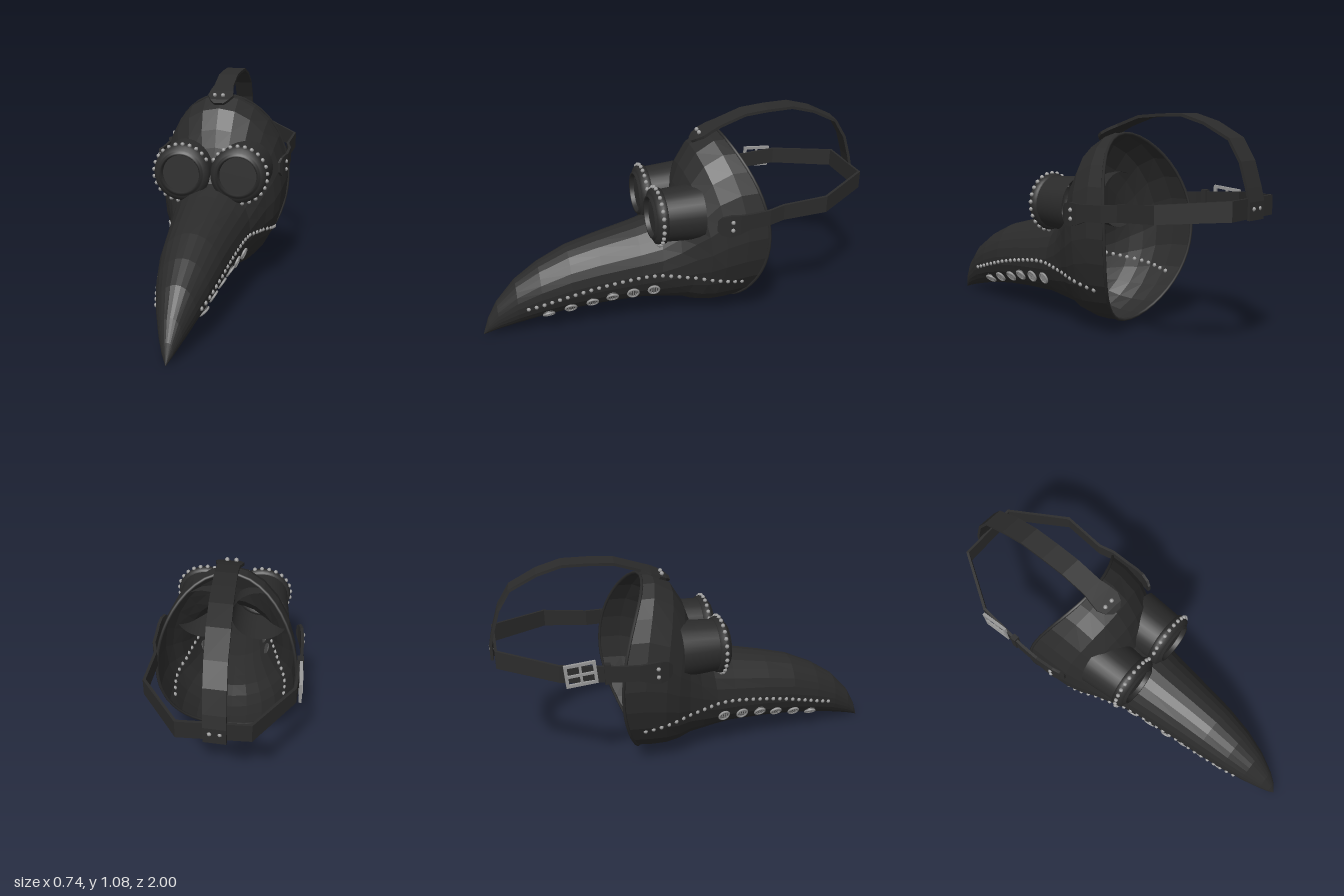
import * as THREE from 'three';

const leather = new THREE.MeshStandardMaterial({ color: 0x2b2b2b, side: THREE.DoubleSide });
leather.name = 'black leather';
const glass = new THREE.MeshStandardMaterial({ color: 0x2e2e2e });
glass.name = 'dark glass';
const metal = new THREE.MeshStandardMaterial({ color: 0x989898 });
metal.name = 'grey metal';
const grille = new THREE.MeshStandardMaterial({ color: 0x4a4a4a });
grille.name = 'dark metal';

function add(parent, name, geometry, material, x = 0, y = 0, z = 0) {
  const mesh = new THREE.Mesh(geometry, material);
  mesh.name = name;
  mesh.position.set(x, y, z);
  parent.add(mesh);
  return mesh;
}

// Faceted skin over a row of closed rings of points
function loft(rings, capped = false) {
  const pos = [];
  const tri = (...pts) => pts.forEach((p) => pos.push(p.x, p.y, p.z));
  const n = rings[0].length;
  for (let i = 0; i < rings.length - 1; i++) {
    for (let j = 0; j < n; j++) {
      const k = (j + 1) % n;
      const a = rings[i][j], b = rings[i][k], c = rings[i + 1][k], d = rings[i + 1][j];
      tri(a, b, c);
      tri(a, c, d);
    }
  }
  if (capped) {
    for (const r of [rings[0], rings[rings.length - 1]]) {
      for (let j = 1; j < n - 1; j++) tri(r[0], r[j], r[j + 1]);
    }
  }
  const g = new THREE.BufferGeometry();
  g.setAttribute('position', new THREE.Float32BufferAttribute(pos, 3));
  g.computeVertexNormals();
  return g;
}

// Flat strap along rows of [x, y, z, width]; across is the width direction
function strap(rows, across, thick = 0.014) {
  const pts = rows.map((r) => new THREE.Vector3(r[0], r[1], r[2]));
  return loft(pts.map((p, i) => {
    const t = pts[Math.min(i + 1, pts.length - 1)].clone().sub(pts[Math.max(i - 1, 0)]);
    const n = t.cross(across).normalize().multiplyScalar(thick / 2);
    const w = across.clone().multiplyScalar(rows[i][3] / 2);
    return [[1, 1], [-1, 1], [-1, -1], [1, -1]].map(
      ([u, v]) => p.clone().addScaledVector(w, u).addScaledVector(n, v));
  }), true);
}

// Shell sections: top z, top y, bottom z, bottom y, half width, side sweep
const SECTIONS = [
  [-0.25, 0.985, -0.29, 0.06, 0.335, -0.145],
  [-0.19, 0.985, -0.22, 0.05, 0.335, -0.1],
  [-0.1, 0.93, -0.15, 0.05, 0.325, -0.075],
  [-0.04, 0.83, -0.08, 0.065, 0.3, -0.07],
  [-0.01, 0.74, -0.02, 0.09, 0.265, -0.05],
  [0.01, 0.65, 0.05, 0.1, 0.235, -0.02],
  [0.08, 0.57, 0.12, 0.11, 0.205, 0],
  [0.2, 0.535, 0.2, 0.12, 0.19, 0],
  [0.4, 0.49, 0.4, 0.115, 0.165, 0],
  [0.55, 0.45, 0.55, 0.105, 0.148, 0],
  [0.7, 0.38, 0.7, 0.085, 0.122, 0],
  [0.82, 0.3, 0.82, 0.06, 0.09, 0],
  [0.92, 0.19, 0.92, 0.035, 0.052, 0],
  [0.97, 0.1, 0.97, 0.02, 0.026, 0],
  [1, 0.012, 1, 0.008, 0.001, 0],
];
const shellRings = SECTIONS.map(([tz, ty, bz, by, w, sweep]) =>
  Array.from({ length: 24 }, (_, j) => {
    const a = (j / 24) * Math.PI * 2, s = Math.sin(a), c = Math.cos(a), k = (1 + s) / 2;
    return new THREE.Vector3(w * c, by + (ty - by) * k, bz + (tz - bz) * k + sweep * c * c);
  }));

const studGeo = new THREE.SphereGeometry(0.011, 8, 6);

function buildEye(side) {
  const eye = new THREE.Group();
  eye.name = side > 0 ? 'leftEye' : 'rightEye';
  eye.position.set(side * 0.145, 0.63, 0);
  const socket = add(eye, 'eyeSocket', new THREE.CylinderGeometry(0.13, 0.145, 0.2, 28, 1, true), leather, 0, 0, 0);
  socket.rotation.x = Math.PI / 2;
  // Rounded rim with a raised inner lip
  const profile = [[0.12, 0.085], [0.139, 0.088], [0.145, 0.11], [0.137, 0.132], [0.118, 0.142],
    [0.112, 0.14], [0.106, 0.152], [0.097, 0.15], [0.092, 0.115]].map((p) => new THREE.Vector2(...p));
  add(eye, 'eyeRim', new THREE.LatheGeometry(profile, 36), leather).rotation.x = Math.PI / 2;
  add(eye, 'lens', new THREE.CylinderGeometry(0.095, 0.095, 0.009, 32), glass, 0, 0, 0.125).rotation.x = Math.PI / 2;
  // Studs round the outer part of the rim
  for (let i = 0; i < 17; i++) {
    const a = THREE.MathUtils.degToRad(30 + i * 14.5);
    add(eye, 'eyeStud', studGeo, metal, -side * Math.cos(a) * 0.145, Math.sin(a) * 0.145, 0.115);
  }
  return eye;
}

function buildVent() {
  const vent = new THREE.Group();
  vent.name = 'vent';
  add(vent, 'ventPlate', new THREE.CylinderGeometry(0.03, 0.03, 0.012, 18), grille).rotation.x = Math.PI / 2;
  add(vent, 'ventRing', new THREE.TorusGeometry(0.027, 0.006, 6, 18), metal, 0, 0, 0.006);
  for (const x of [-0.012, 0, 0.012]) {
    add(vent, 'ventBar', new THREE.BoxGeometry(0.005, 0.042, 0.006), metal, x, 0, 0.007);
  }
  return vent;
}

function buildMask() {
  const mask = new THREE.Group();
  mask.name = 'mask';
  const shell = add(mask, 'beakedShell', loft(shellRings), leather);
  const rim = new THREE.CatmullRomCurve3(shellRings[0], true);
  add(mask, 'backRim', new THREE.TubeGeometry(rim, 48, 0.008, 5, true), leather);

  // Finds the shell surface at a given height and depth on one side
  const ray = new THREE.Raycaster();
  const onShell = (side, y, z) => {
    ray.set(new THREE.Vector3(side * 2, y, z), new THREE.Vector3(-side, 0, 0));
    return ray.intersectObject(shell)[0];
  };
  const seam = new THREE.CatmullRomCurve3([[0.18, 0.77], [0.26, 0.5], [0.305, 0.28], [0.32, 0.15],
    [0.31, 0], [0.29, -0.15], [0.26, -0.3]].map(([y, z]) => new THREE.Vector3(0, y, z)));
  const vents = [[0.13, 0.67], [0.16, 0.56], [0.185, 0.45], [0.21, 0.35], [0.222, 0.245], [0.232, 0.14]];
  for (const side of [1, -1]) {
    mask.add(buildEye(side));
    for (const p of seam.getSpacedPoints(27)) {
      const hit = onShell(side, p.y, p.z);
      if (hit) add(mask, 'seamStud', studGeo, metal, hit.point.x, hit.point.y, hit.point.z);
    }
    for (const [y, z] of vents) {
      const hit = onShell(side, y, z);
      if (!hit) continue;
      const vent = buildVent();
      vent.position.copy(hit.point);
      vent.lookAt(hit.point.clone().add(hit.face.normal));
      mask.add(vent);
    }
  }
  mask.rotation.y = 0.047;
  mask.position.x = 0.03;
  return mask;
}

function buildHarness() {
  const harness = new THREE.Group();
  harness.name = 'harness';
  // Strap round the back of the head, with rounded tabs at the temples
  const loop = [
    [0.338, 0.62, -0.16, 0.05], [0.347, 0.62, -0.18, 0.095], [0.356, 0.62, -0.22, 0.115], [0.36, 0.625, -0.27, 0.1],
    [0.357, 0.635, -0.32, 0.08], [0.352, 0.642, -0.42, 0.08], [0.328, 0.65, -0.5, 0.08], [0.332, 0.67, -0.72, 0.085],
    [0.145, 0.692, -0.982, 0.09], [-0.17, 0.69, -0.968, 0.09], [-0.332, 0.665, -0.69, 0.085],
    [-0.345, 0.64, -0.42, 0.08], [-0.343, 0.632, -0.32, 0.08], [-0.339, 0.625, -0.27, 0.1],
    [-0.334, 0.62, -0.22, 0.115], [-0.322, 0.62, -0.18, 0.095], [-0.311, 0.62, -0.16, 0.05],
  ];
  add(harness, 'headStrap', strap(loop, new THREE.Vector3(0, 1, 0)), leather);

  // Strap over the crown: z, y, width
  const crown = [[-0.105, 0.952, 0.05], [-0.125, 0.968, 0.1], [-0.16, 0.985, 0.135], [-0.2, 1.005, 0.125],
    [-0.25, 1.025, 0.105], [-0.38, 1.07, 0.105], [-0.5, 1.08, 0.105], [-0.63, 1.083, 0.105], [-0.75, 1.05, 0.105],
    [-0.88, 0.985, 0.1], [-0.94, 0.89, 0.1], [-0.975, 0.78, 0.1], [-0.99, 0.72, 0.1], [-0.99, 0.64, 0.1]];
  add(harness, 'crownStrap', strap(crown.map(([z, y, w]) => [0.03 + 0.05 * z, y, z, w]),
    new THREE.Vector3(1, 0, 0.047).normalize()), leather);

  // Rivet pairs
  for (const y of [0.6, 0.642]) {
    add(harness, 'templeRivet', studGeo, metal, 0.364, y, -0.23);
    add(harness, 'templeRivet', studGeo, metal, -0.342, y, -0.23);
  }
  for (const x of [-0.022, 0.022]) {
    add(harness, 'crownRivet', studGeo, metal, x + 0.016, 0.993, -0.145);
    add(harness, 'rearRivet', studGeo, metal, x - 0.02, 0.69, -0.993);
  }

  // Buckle on the right side
  const buckle = new THREE.Group();
  buckle.name = 'buckle';
  const outline = new THREE.Shape([[-0.075, -0.057], [0.075, -0.057], [0.075, 0.057], [-0.075, 0.057]]
    .map((p) => new THREE.Vector2(...p)));
  outline.holes.push(new THREE.Path([[-0.06, -0.043], [-0.06, 0.043], [0.06, 0.043], [0.06, -0.043]]
    .map((p) => new THREE.Vector2(...p))));
  add(buckle, 'buckleFrame', new THREE.ExtrudeGeometry(outline, { depth: 0.014, bevelEnabled: false }), metal);
  add(buckle, 'bucklePin', new THREE.BoxGeometry(0.13, 0.012, 0.01), metal, 0, 0, 0.013);
  add(buckle, 'buckleBar', new THREE.BoxGeometry(0.012, 0.1, 0.01), metal, 0, 0, 0.006);
  buckle.position.set(-0.344, 0.662, -0.595);
  buckle.rotation.set(0, -Math.PI / 2 + 0.05, 0.08);
  harness.add(buckle);
  add(harness, 'strapKeeper', new THREE.BoxGeometry(0.03, 0.1, 0.03), leather, -0.342, 0.647, -0.47);
  return harness;
}

export function createModel() {
  const model = new THREE.Group();
  model.name = 'beakedMask';
  model.add(buildMask(), buildHarness());
  return model;
}
